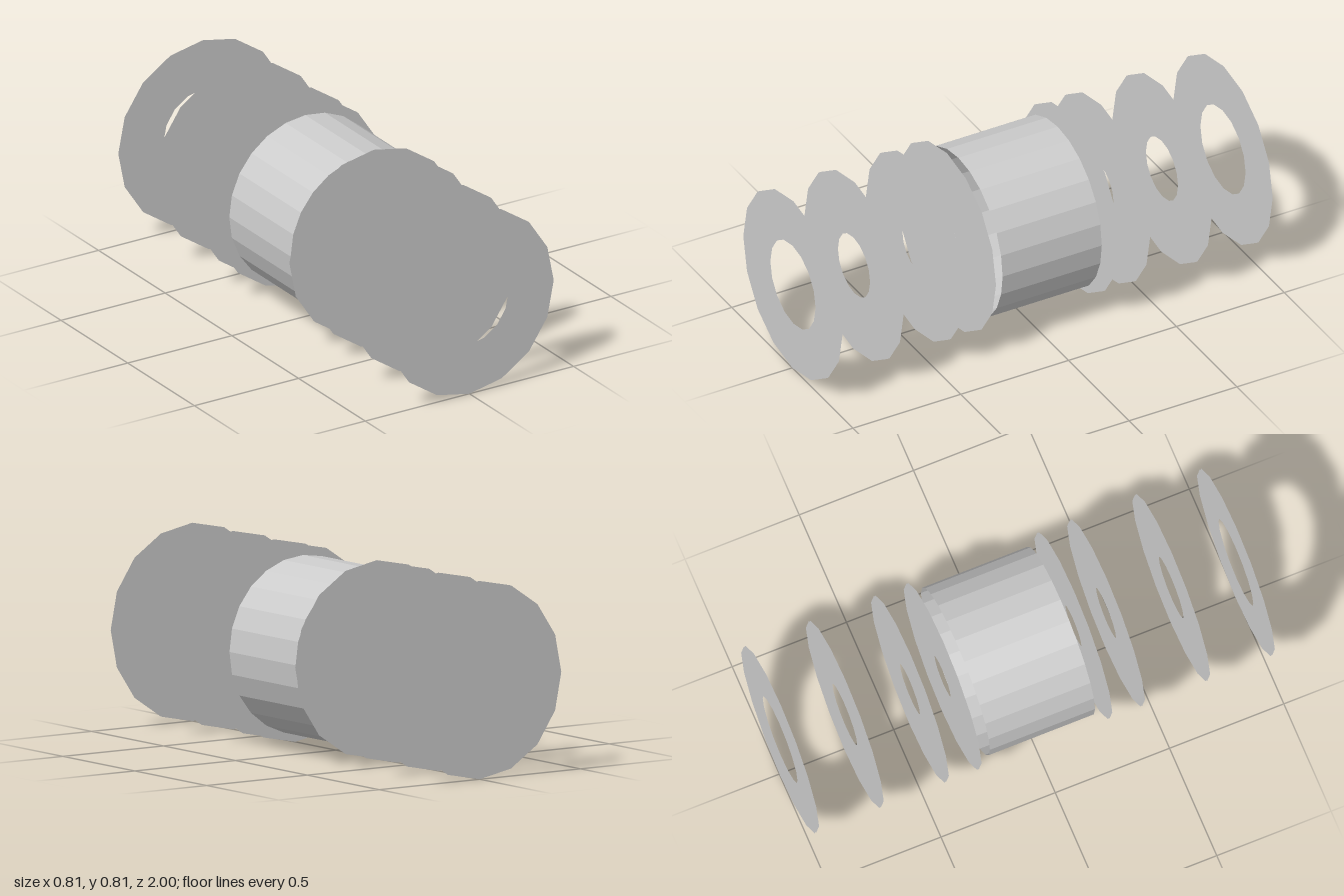
import * as THREE from 'three';

export function createModel() {
  const model = new THREE.Group();
  const material = new THREE.MeshStandardMaterial({
    color: 0xcccccc, flatShading: true, side: THREE.DoubleSide,
  });
  const axisHeight = 0.405;
  const outerRadius = 0.405;
  const thickness = 0.006;

  // Open faceted drum lying along z
  const drum = new THREE.Mesh(
    new THREE.CylinderGeometry(0.365, 0.365, 0.46, 24, 1, true), material);
  drum.name = 'drum';
  drum.rotation.x = Math.PI / 2;
  drum.position.y = axisHeight;
  model.add(drum);

  // Thin plates on each side: distance from the centre and hole radius
  const plates = [
    [0.997, 0.192],
    [0.714, 0.138],
    [0.429, 0.113],
    [0.286, 0.092],
  ];
  for (const side of [1, -1]) {
    plates.forEach(([z, hole], i) => {
      const plate = new THREE.Group();
      plate.name = `${side > 0 ? 'front' : 'back'}RingPlate${i + 1}`;
      plate.position.set(0, axisHeight, side * z);
      // Each plate is a pair of faces turned outwards
      for (const face of [1, -1]) {
        const mesh = new THREE.Mesh(
          new THREE.RingGeometry(hole, outerRadius, 16), material);
        mesh.name = face > 0 ? 'plateFrontFace' : 'plateBackFace';
        mesh.position.z = face * thickness / 2;
        if (face < 0) mesh.rotation.y = Math.PI;
        plate.add(mesh);
      }
      model.add(plate);
    });
  }
  return model;
}
